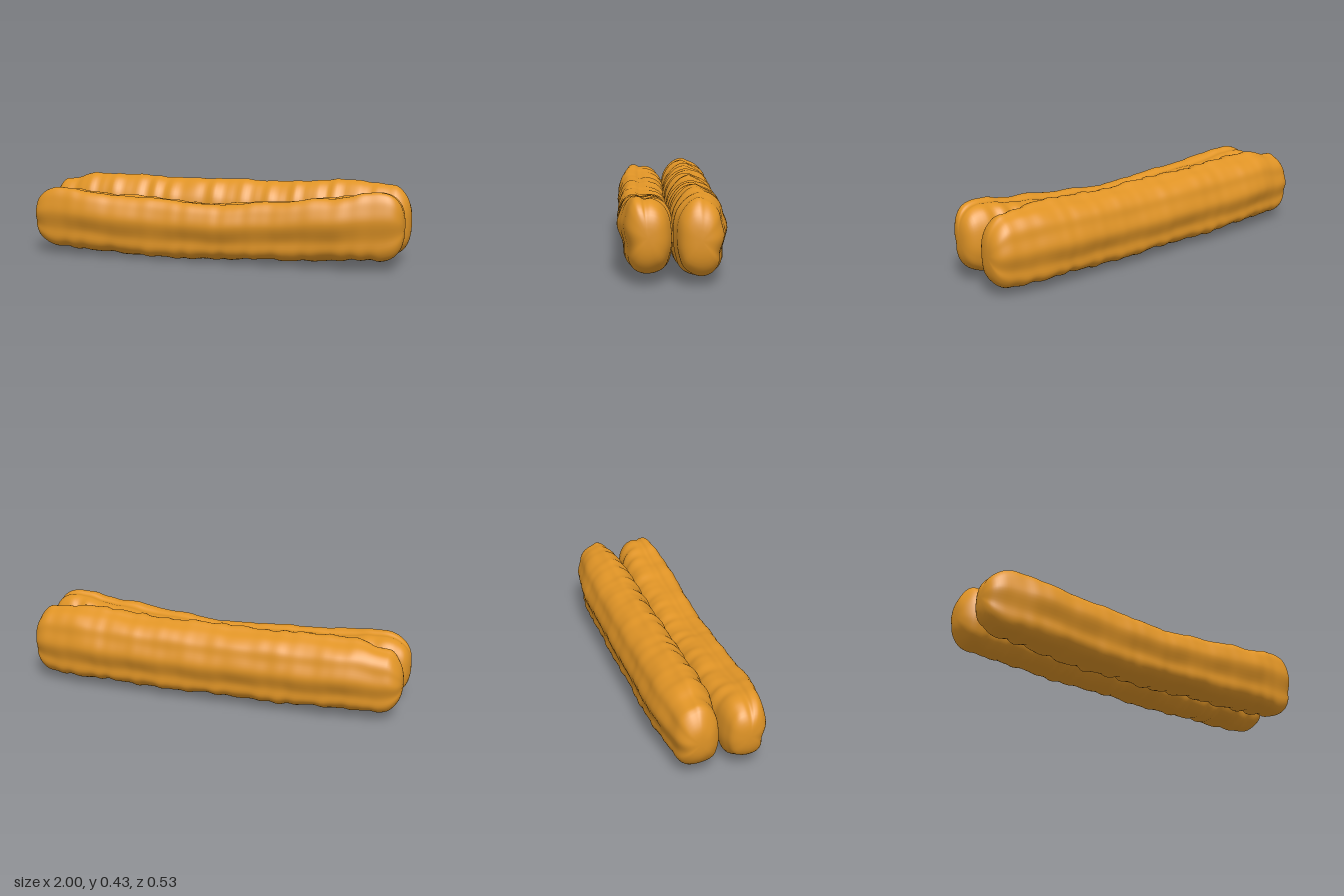
import * as THREE from 'three';
import { mergeVertices } from 'three/addons/utils/BufferGeometryUtils.js';

const { smoothstep } = THREE.MathUtils;

// smooth lookup in a list of [x, value] keys
function sample(keys, x) {
  let i = 0;
  while (i < keys.length - 2 && x > keys[i + 1][0]) i++;
  const [x0, a] = keys[i], [x1, b] = keys[i + 1];
  return a + (b - a) * smoothstep(x, x0, x1);
}

// stations [x, scale] along the length: even in the middle, bunched round the ends
function stations() {
  const straight = 0.91, n = 120, cap = 10;
  const end = [];
  for (let i = 1; i <= cap; i++) {
    const a = (i / cap) * Math.PI / 2;
    end.push([straight + (1 - straight) * Math.sin(a), Math.pow(Math.max(0, Math.cos(a)), 0.7)]);
  }
  const middle = Array.from({ length: n + 1 }, (_, i) => [straight * (2 * i / n - 1), 1]);
  return [...end.map(([x, s]) => [-x, s]).reverse(), ...middle, ...end];
}

// lumpy roll: section points are [distance out from the seam, height 0..1]
function makeRoll({ section, side, top, bottom, phase }) {
  const curve = new THREE.CatmullRomCurve3(
    section.map(([u, v]) => new THREE.Vector3(u, v, 0)), true, 'centripetal');
  const count = 72;
  const ring = curve.getPoints(count).slice(0, count);
  const rows = stations();
  const pos = [], index = [];
  const mid = 0.122;
  for (const [x, round] of rows) {
    const yt = sample(top, x), yb = sample(bottom, x);
    const cy = (yt + yb) / 2;
    const taper = smoothstep(Math.abs(x), 0.65, 0.98);
    // uneven crosswise ribs
    const rib = Math.sin(x * 50 + 1.6 * Math.sin(x * 7 + phase) + phase);
    const fine = Math.sin(x * 83 + 2 * Math.sin(x * 5 - phase));
    for (const p of ring) {
      const angle = Math.atan2(p.y - 0.5, (p.x - mid) * 4);
      const low = smoothstep(-p.y, -0.4, 0);
      const inner = smoothstep(-p.x, -0.13, -0.03);
      const weight = 0.25 + 0.4 * low + 0.9 * inner;
      const lump = weight * (0.026 * rib + 0.012 * fine)
        + 0.016 * Math.sin(x * 11 + 3 * angle + phase)
        + 0.01 * Math.sin(x * 23 - 4 * angle);
      const s = round * (1 + lump);
      // the outer side tapers more than the seam side
      const narrow = 1 - (p.x > mid ? 0.27 : 0.2) * taper;
      pos.push(x,
        cy + (p.y - 0.5) * (yt - yb) * s,
        side * (mid + (p.x - mid) * s * narrow));
    }
  }
  for (let i = 0; i < rows.length - 1; i++) {
    for (let j = 0; j < count; j++) {
      const k = (j + 1) % count;
      const a = i * count + j, b = a + count, c = i * count + k, d = c + count;
      if (side > 0) index.push(a, b, c, b, d, c);
      else index.push(a, c, b, b, c, d);
    }
  }
  const g = new THREE.BufferGeometry();
  g.setAttribute('position', new THREE.Float32BufferAttribute(pos, 3));
  g.setIndex(index);
  const merged = mergeVertices(g, 1e-5);
  merged.computeVertexNormals();
  return merged;
}

export function createModel() {
  const model = new THREE.Group();
  model.name = 'twinDoughStick';
  const dough = new THREE.MeshStandardMaterial({ color: 0xe09426 });
  dough.name = 'golden fried dough';

  // front half: sagging middle, two soft ridges along the top
  const front = new THREE.Mesh(makeRoll({
    side: 1, phase: 0.4,
    section: [[0.115, 0], [0.185, 0.035], [0.228, 0.15], [0.236, 0.35], [0.262, 0.6], [0.25, 0.78],
      [0.228, 0.92], [0.2, 0.985], [0.17, 0.985], [0.142, 0.95], [0.105, 0.965], [0.06, 0.93],
      [0.016, 0.8], [-0.003, 0.54], [0.004, 0.28], [0.045, 0.06]],
    top: [[-1, 0.33], [-0.86, 0.36], [-0.5, 0.335], [0, 0.31], [0.35, 0.335], [0.62, 0.37], [0.86, 0.405], [1, 0.395]],
    bottom: [[-1, 0.06], [-0.85, 0.03], [-0.3, 0.004], [0, 0.01], [0.4, 0.028], [0.85, 0.047], [1, 0.065]],
  }), dough);
  front.name = 'frontRoll';

  // back half: taller, broad ridge at its centre, steep towards the seam
  const back = new THREE.Mesh(makeRoll({
    side: -1, phase: 2.1,
    section: [[0.1, 0], [0.18, 0.025], [0.232, 0.13], [0.239, 0.29], [0.264, 0.5], [0.244, 0.68],
      [0.226, 0.82], [0.185, 0.92], [0.145, 0.965], [0.11, 1], [0.075, 0.975], [0.035, 0.89],
      [0, 0.74], [-0.012, 0.5], [-0.004, 0.25], [0.03, 0.07]],
    top: [[-1, 0.34], [-0.92, 0.37], [-0.75, 0.408], [-0.3, 0.402], [0.2, 0.402], [0.72, 0.422], [0.9, 0.408], [1, 0.385]],
    bottom: [[-1, 0.06], [-0.85, 0.04], [-0.3, 0.027], [0.3, 0.026], [0.85, 0.036], [1, 0.05]],
  }), dough);
  back.name = 'backRoll';

  model.add(front, back);
  return model;
}
